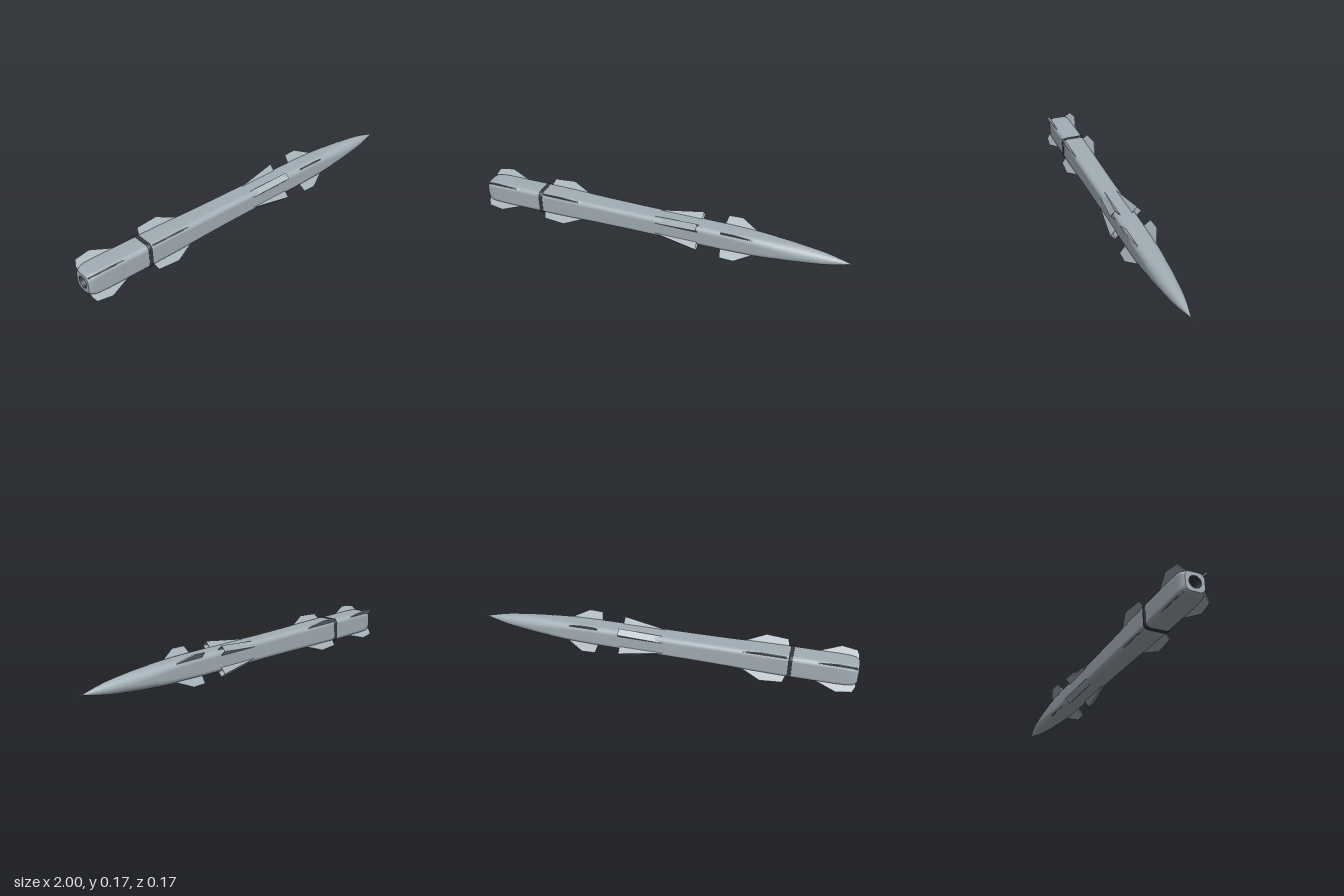
import * as THREE from 'three';

const AXIS_Y = 0.086;
const paint = (name, color, side = THREE.FrontSide) => {
  const m = new THREE.MeshStandardMaterial({ color, side });
  m.name = name;
  return m;
};

// Point of a rounded square: half size h, corner radius h * round
function sectionPoints(h, round, arc = 8) {
  const pts = [], c = h * round;
  for (let k = 0; k < 4; k++) {
    const mid = Math.PI / 4 + k * Math.PI / 2;
    const cy = Math.sign(Math.cos(mid)) * (h - c), cz = Math.sign(Math.sin(mid)) * (h - c);
    for (let i = 0; i <= arc; i++) {
      const a = (k + i / arc * 0.998 + 0.001) * Math.PI / 2;
      pts.push([cy + c * Math.cos(a), cz + c * Math.sin(a)]);
    }
  }
  return pts;
}

// Skin through stations [x, half size, corner roundness] along x
function loft(stations) {
  const pos = [], idx = [];
  let n = 0;
  stations.forEach(([x, h, round]) => {
    const pts = sectionPoints(h, round);
    n = pts.length;
    pts.forEach(([y, z]) => pos.push(x, y, z));
  });
  for (let s = 0; s < stations.length - 1; s++) {
    for (let j = 0; j < n; j++) {
      const a = s * n + j, b = s * n + (j + 1) % n;
      idx.push(a, b, a + n, b, b + n, a + n);
    }
  }
  const g = new THREE.BufferGeometry();
  g.setAttribute('position', new THREE.Float32BufferAttribute(pos, 3));
  g.setIndex(idx);
  g.computeVertexNormals();
  return g;
}

// Flat plate from [x, radius] points, thick along z and centred at z = offset
function plate(points, thick, offset = 0) {
  const shape = new THREE.Shape(points.map(([x, r]) => new THREE.Vector2(x, r)));
  return new THREE.ExtrudeGeometry(shape, { depth: thick, bevelEnabled: false })
    .translate(0, 0, offset - thick / 2);
}

export function createModel() {
  const model = new THREE.Group();
  model.name = 'missile';
  const grey = paint('hull grey', 0xa3aeb6);
  const dark = paint('dark band', 0x34393d);
  const hollow = paint('dark opening', 0x3a4045, THREE.DoubleSide);

  const add = (parent, name, geometry, material) => {
    const m = new THREE.Mesh(geometry, material);
    m.name = name;
    parent.add(m);
    return m;
  };

  const hull = new THREE.Group();
  hull.name = 'hull';
  hull.position.y = AXIS_Y;
  model.add(hull);

  // Booster, main body and nose
  add(hull, 'booster', loft([
    [-1, 0.047, 0.6], [-0.992, 0.053, 0.55], [-0.98, 0.058, 0.48], [-0.955, 0.061, 0.42],
    [-0.9, 0.062, 0.4], [-0.67, 0.062, 0.4]]), grey);
  add(hull, 'mainBody', loft([
    [-0.67, 0.062, 0.4], [-0.5, 0.0605, 0.4], [-0.35, 0.058, 0.42], [-0.15, 0.0565, 0.45],
    [0.1, 0.056, 0.45], [0.35, 0.056, 0.5], [0.5, 0.055, 0.6], [0.6, 0.052, 0.75]]), grey);
  add(hull, 'nose', loft([
    [0.597, 0.051, 0.76], [0.65, 0.0495, 0.85], [0.7, 0.0465, 0.93], [0.75, 0.042, 1],
    [0.8, 0.0365, 1], [0.85, 0.0295, 1], [0.9, 0.0195, 1], [0.935, 0.011, 1],
    [0.96, 0.005, 1], [0.975, 0.0022, 1], [1, 0.0008, 1]]), grey);

  // Tail plate with a recessed nozzle
  add(hull, 'tailPlate', loft([[-1, 0.03, 1], [-1, 0.047, 0.6]]), grey);
  add(hull, 'nozzle', loft([[-0.95, 0.0005, 1], [-0.95, 0.024, 1], [-1, 0.03, 1]]), hollow);

  // Joint band between booster and body
  add(hull, 'jointBand', loft([[-0.68, 0.06, 0.4], [-0.679, 0.0655, 0.4], [-0.661, 0.0655, 0.4],
    [-0.66, 0.06, 0.4]]), dark);

  // Root of each fin is buried in the hull
  const fins = {
    tailFin: [[-0.995, 0.05], [-0.8, 0.05], [-0.8, 0.077], [-0.905, 0.117], [-0.982, 0.106], [-0.995, 0.08]],
    middleFin: [[-0.652, 0.05], [-0.43, 0.05], [-0.43, 0.073], [-0.53, 0.119], [-0.642, 0.111], [-0.652, 0.08]],
    frontFin: [[0.33, 0.045], [0.495, 0.045], [0.495, 0.064], [0.41, 0.113], [0.338, 0.111], [0.33, 0.07]],
  };

  // Four quarters, each with three fins and one wedge shaped intake
  for (let k = 0; k < 4; k++) {
    const quarter = new THREE.Group();
    quarter.name = 'quarter' + (k + 1);
    quarter.rotation.x = Math.PI / 4 + k * Math.PI / 2;
    hull.add(quarter);

    for (const [name, outline] of Object.entries(fins)) add(quarter, name, plate(outline, 0.005), grey);

    const wedge = [[-0.05, 0.05], [0.21, 0.05], [0.21, 0.1], [-0.05, 0.057]];
    for (const s of [-1, 1]) add(quarter, 'intakeWall', plate(wedge, 0.003, s * 0.0165), grey);
    add(quarter, 'intakeRoof', plate(
      [[-0.05, 0.054], [0.21, 0.097], [0.21, 0.1], [-0.05, 0.057]], 0.036), grey);
    add(quarter, 'intakeThroat', plate(
      [[0.0, 0.05], [0.17, 0.05], [0.17, 0.09], [0.0, 0.061]], 0.03), hollow);
  }
  return model;
}
